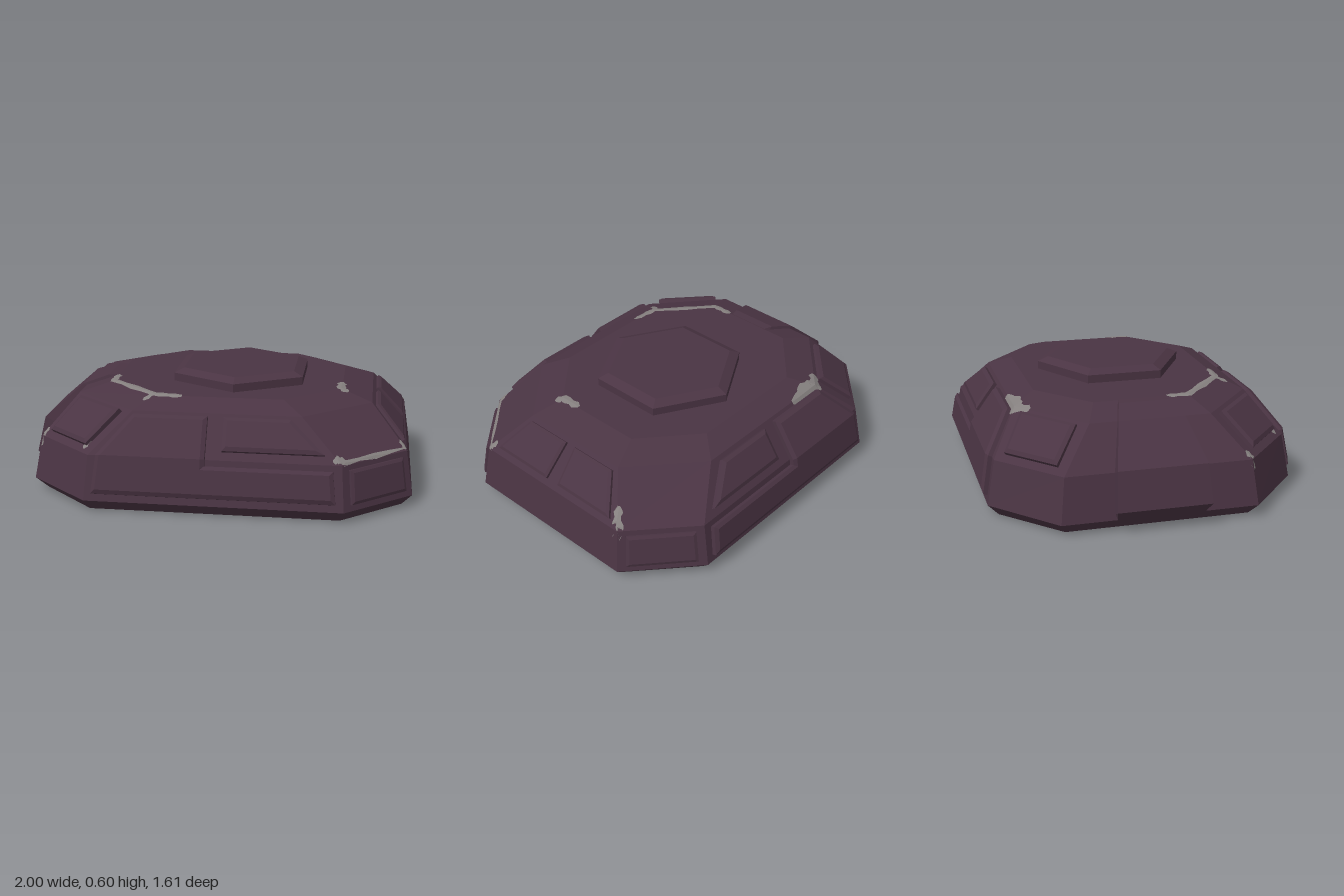
import * as THREE from 'three';

const V = (x, y, z) => new THREE.Vector3(x, y, z);
const plating = new THREE.MeshStandardMaterial({ color: 0x4a3443 });
plating.name = 'dark plum plating';
const bareMetal = new THREE.MeshStandardMaterial({ color: 0x85807f, side: THREE.DoubleSide });
bareMetal.name = 'worn grey metal';

// Octagon ring: y, left x, right x, corner left x, corner right x, side z, corner z
const ring = (y, l, r, cl, cr, z, cz) => [
  V(cl, y, z), V(cr, y, z), V(r, y, cz), V(r, y, -cz),
  V(cr, y, -z), V(cl, y, -z), V(l, y, -cz), V(l, y, cz),
];
const rings = [
  ring(0, -0.88, 0.95, -0.59, 0.65, 0.73, 0.46),
  ring(0.06, -0.94, 1.0, -0.61, 0.67, 0.785, 0.49),
  ring(0.285, -0.9, 0.965, -0.59, 0.655, 0.745, 0.465),
  ring(0.48, -0.735, 0.785, -0.39, 0.45, 0.605, 0.305),
  ring(0.53, -0.57, 0.63, -0.29, 0.35, 0.49, 0.245),
];

// Flat-shaded mesh from a list of triangle corners
function soup(name, pts, material) {
  const g = new THREE.BufferGeometry().setFromPoints(pts);
  g.computeVertexNormals();
  const m = new THREE.Mesh(g, material);
  m.name = name;
  return m;
}
const quad = (out, a, b, c, d) => out.push(a, b, c, a, c, d);

// Octagonal hull lofted through the rings, closed top and bottom
function hull() {
  const t = [];
  for (let k = 0; k < rings.length - 1; k++)
    for (let i = 0; i < 8; i++) {
      const j = (i + 1) % 8;
      quad(t, rings[k][i], rings[k][j], rings[k + 1][j], rings[k + 1][i]);
    }
  const bot = rings[0], top = rings[4];
  for (let i = 1; i < 7; i++) t.push(bot[0], bot[i + 1], bot[i], top[0], top[i], top[i + 1]);
  return soup('hull', t, plating);
}

const facet = (k, s) => [rings[k][s], rings[k][(s + 1) % 8], rings[k + 1][(s + 1) % 8], rings[k + 1][s]];
function facetNormal(k, s) {
  const [a, b, , d] = facet(k, s);
  return b.clone().sub(a).cross(d.clone().sub(a)).normalize();
}

// Bevelled armour panel on one hull facet; uv outline, optional open fold edge
function panel(name, k, s, uv, { h = 0.03, bevel = 0.02, fold = -1, foldTo = null } = {}) {
  const [a, b, c, d] = facet(k, s);
  const n = facetNormal(k, s);
  const e1 = b.clone().sub(a).normalize(), e2 = n.clone().cross(e1);
  const lift = n.clone();
  if (foldTo !== null) {
    const n2 = facetNormal(foldTo, s);
    lift.add(n2).divideScalar(1 + n.dot(n2));
  }
  const flat = uv.map(([u, v]) => {
    const p = a.clone().lerp(b, u).lerp(d.clone().lerp(c, u), v).sub(a);
    return new THREE.Vector2(p.dot(e1), p.dot(e2));
  });
  const N = flat.length;
  // Each edge moved inwards, then neighbouring edges intersected
  const edges = flat.map((p, i) => {
    const dir = flat[(i + 1) % N].clone().sub(p).normalize();
    const inward = new THREE.Vector2(-dir.y, dir.x);
    return { p: p.clone().addScaledVector(inward, i === fold ? 0 : bevel), dir };
  });
  const inner = edges.map((e, i) => {
    const f = edges[(i + N - 1) % N];
    const t = e.p.clone().sub(f.p).cross(e.dir) / f.dir.cross(e.dir);
    return f.p.clone().addScaledVector(f.dir, t);
  });
  const place = (list, y) => list.map(p =>
    a.clone().addScaledVector(e1, p.x).addScaledVector(e2, p.y).addScaledVector(lift, y));
  const base = place(flat, -0.015), rim = place(flat, h * 0.65), face = place(inner, h);
  const t = [];
  for (let i = 0; i < N; i++) {
    const j = (i + 1) % N;
    if (i !== fold) quad(t, base[i], base[j], rim[j], rim[i]);
    quad(t, rim[i], rim[j], face[j], face[i]);
  }
  for (const tri of THREE.ShapeUtils.triangulateShape(inner, [])) t.push(...tri.map(i => face[i]));
  return soup(name, t, plating);
}

// Wedge slab running up the rear end of the hull
function endSlab() {
  const profile = [[-0.94, 0.06], [-1, 0.12], [-0.955, 0.31], [-0.755, 0.487], [-0.62, 0.532], [-0.57, 0.533]];
  const t = [];
  const sec = profile.map(([x, y]) => {
    const w = 0.115 + (-0.57 - x) * 0.28;
    const ix = x + 0.12, iy = Math.max(y - 0.06, 0.05);
    return [V(x, y, w), V(x, y, -w), V(ix, iy, -w), V(ix, iy, w)];
  });
  for (let i = 0; i < sec.length - 1; i++) {
    const p = sec[i], q = sec[i + 1];
    quad(t, p[1], p[0], q[0], q[1]);
    quad(t, p[0], p[3], q[3], q[0]);
    quad(t, p[2], p[1], q[1], q[2]);
  }
  quad(t, sec[0][0], sec[0][1], sec[0][2], sec[0][3]);
  return soup('endSlab', t, plating);
}

// Height of the convex hull's upper surface at x, z
const planes = [];
for (const k of [1, 2, 3]) for (let s = 0; s < 8; s++) planes.push([facetNormal(k, s), rings[k][s]]);
const surfaceY = (x, z) => planes.reduce((y, [n, p]) =>
  Math.min(y, p.y - (n.x * (x - p.x) + n.z * (z - p.z)) / n.y), 0.53);

// Ragged strip of worn metal draped over the hull along an x, z path
function wear(path, width = 0.03) {
  const pts = [];
  path.slice(0, -1).forEach(([x, z], i) => {
    const [x2, z2] = path[i + 1];
    for (let j = 0; j < 4; j++) pts.push([x + (x2 - x) * j / 4, z + (z2 - z) * j / 4]);
  });
  pts.push(path[path.length - 1]);
  const rows = pts.map(([x, z], i) => {
    const p = pts[Math.max(i - 1, 0)], q = pts[Math.min(i + 1, pts.length - 1)];
    const len = Math.hypot(q[0] - p[0], q[1] - p[1]);
    const end = i === 0 || i === pts.length - 1 ? 0.35 : 1;
    const w = width * end * (0.5 + 0.12 * Math.sin(i * 2.3));
    const dx = -(q[1] - p[1]) / len * w, dz = (q[0] - p[0]) / len * w;
    return [-1, 0, 1].map(m => {
      const X = x + dx * m, Z = z + dz * m;
      return V(X, surfaceY(X, Z) + 0.005, Z);
    });
  });
  const t = [];
  for (let i = 0; i < rows.length - 1; i++)
    for (const c of [0, 1]) quad(t, rows[i][c], rows[i + 1][c], rows[i + 1][c + 1], rows[i][c + 1]);
  return soup('wornEdge', t, bareMetal);
}

export function createModel() {
  const model = new THREE.Group();
  model.name = 'armouredDome';
  model.add(hull(), endSlab());

  // Hexagonal hatch: straight rim and bevelled lid
  [['hatchRim', 0.39, 0.39, 0.52, 0.572], ['hatchLid', 0.335, 0.39, 0.572, 0.595]].forEach(([name, rt, rb, y0, y1]) => {
    const g = new THREE.CylinderGeometry(rt, rb, y1 - y0, 6).toNonIndexed();
    g.computeVertexNormals();
    const m = new THREE.Mesh(g, plating);
    m.name = name;
    m.position.set(0.085, (y0 + y1) / 2, 0);
    model.add(m);
  });

  // Panels on the front half, repeated mirrored on the back half
  const specs = [
    ['lowerSidePanel', 1, 0, 4, [[0.03, 0.16], [0.97, 0.16], [0.965, 0.86], [0.468, 0.86], [0.468, 1], [0.036, 1]], { h: 0.034, fold: 4, foldTo: 2 }],
    ['upperSidePanel', 2, 0, 4, [[0.036, 0], [0.468, 0], [0.454, 0.92], [0.03, 0.92]], { h: 0.034, fold: 0, foldTo: 1 }],
    ['sideWindow', 2, 0, 4, [[0.534, 0.18], [0.96, 0.18], [0.92, 0.9], [0.545, 0.9]], {}],
    ['lowerCornerPanel', 1, 1, 3, [[0.1, 0.14], [0.9, 0.14], [0.9, 0.88], [0.1, 0.88]], { h: 0.018, bevel: 0.015 }],
    ['upperCornerPanel', 2, 7, 5, [[0.13, 0.14], [0.87, 0.14], [0.87, 0.92], [0.13, 0.92]], {}],
    ['endWindow', 2, 2, 2, [[0.05, 0.13], [0.455, 0.13], [0.455, 0.9], [0.05, 0.9]], { h: 0.022, bevel: 0.015 }],
  ];
  for (const [name, k, front, back, uv, opt] of specs) {
    const n = uv.length;
    const flipped = uv.map(([u, v]) => [1 - u, v]).reverse();
    const fold = opt.fold === undefined ? -1 : (2 * n - 2 - opt.fold) % n;
    model.add(panel(name + 'Front', k, front, uv, opt));
    model.add(panel(name + 'Back', k, back, flipped, { ...opt, fold }));
  }

  // Worn metal along corners and edges
  model.add(
    wear([[-0.46, -0.54], [-0.39, -0.605], [-0.19, -0.608]], 0.05),
    wear([[-0.42, -0.625], [-0.37, -0.58], [-0.27, -0.58]], 0.04),
    wear([[-0.565, 0.13], [-0.565, 0.245], [-0.3, 0.48], [-0.16, 0.495]], 0.04),
    wear([[-0.3, 0.46], [-0.35, 0.53]], 0.035),
    wear([[0.625, 0.13], [0.625, 0.245], [0.66, 0.27]], 0.045),
    wear([[0.61, 0.735], [0.66, 0.73], [0.955, 0.462]], 0.018),
    wear([[0.62, 0.73], [0.67, 0.715]], 0.03),
    wear([[0.89, -0.41], [0.955, -0.45], [0.935, -0.48]], 0.04),
    wear([[0.93, 0.43], [0.962, 0.465]], 0.03),
    wear([[-0.62, 0.7], [-0.59, 0.66]], 0.03),
    wear([[-0.87, 0.44], [-0.9, 0.48]], 0.03),
  );
  return model;
}
